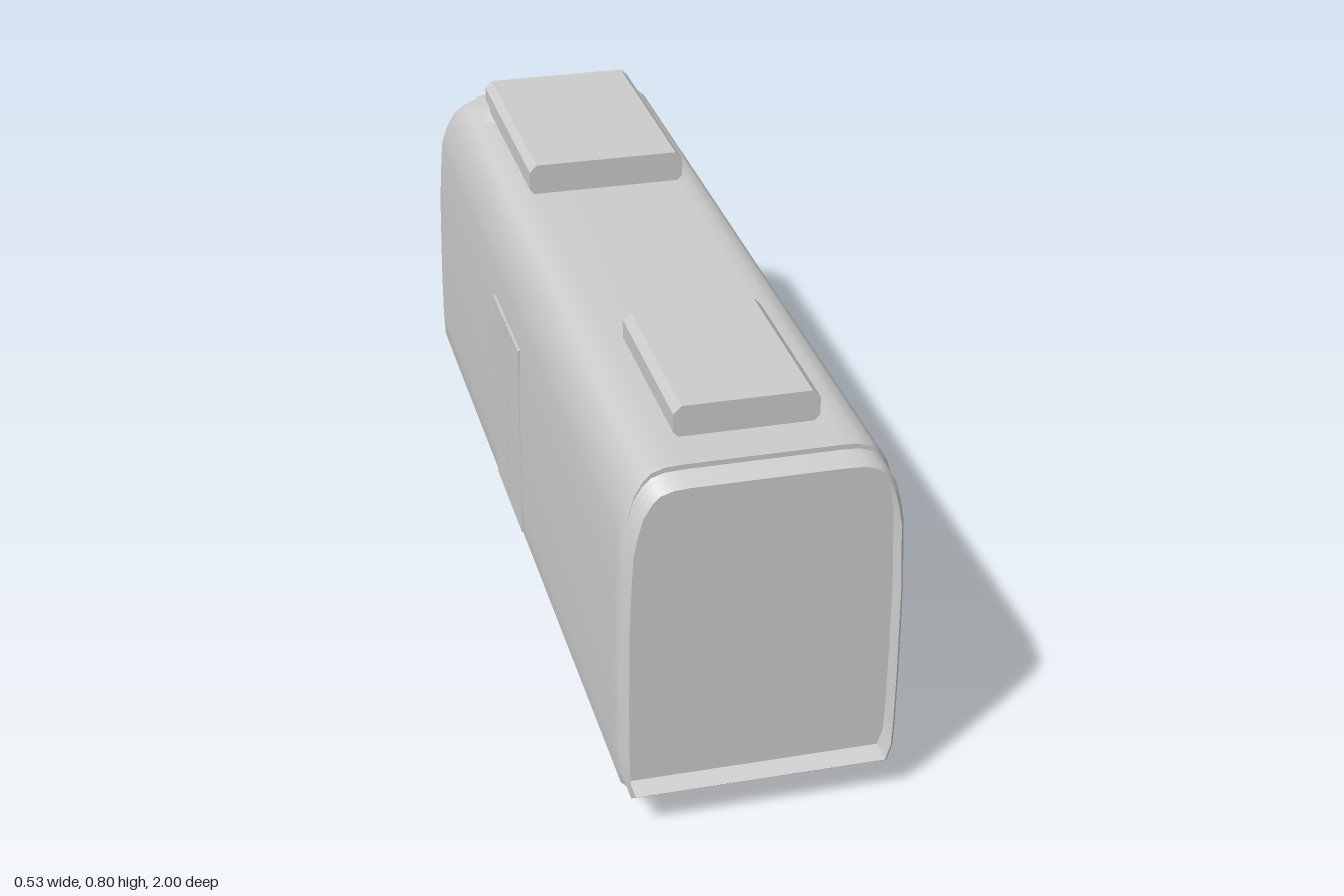
import * as THREE from 'three';
import { toCreasedNormals } from 'three/addons/utils/BufferGeometryUtils.js';

// Horizontal layers of the body: height, half width, nose z, corner depth
const LAYERS = [
  [0.063, 0.25, -0.985, 0.15], [0.097, 0.26, -0.998, 0.15], [0.15, 0.262, -1, 0.15],
  [0.27, 0.263, -0.995, 0.15], [0.45, 0.262, -0.984, 0.15], [0.52, 0.259, -0.979, 0.15],
  [0.6, 0.255, -0.97, 0.15], [0.64, 0.248, -0.945, 0.14], [0.683, 0.236, -0.905, 0.12],
  [0.71, 0.22, -0.868, 0.1], [0.725, 0.205, -0.84, 0.08], [0.733, 0.18, -0.815, 0.06],
  [0.735, 0.15, -0.8, 0.05], [0.735, 0, -0.8, 0.05],
];
const BACK = 0.945;

function layerAt(y) {
  let i = 0;
  while (i < LAYERS.length - 2 && LAYERS[i + 1][0] < y) i++;
  const a = LAYERS[i], b = LAYERS[i + 1];
  const f = (y - a[0]) / (b[0] - a[0]);
  return a.map((v, k) => v + (b[k] - v) * f);
}

// Point on the rounded nose, t running from the left side (0) to the right (PI)
function nosePoint([y, w, zf, d], t, offset = 0) {
  const p = 2 / 2.6, c = Math.cos(t);
  const s = Math.max(0, Math.sin(t));
  return [
    Math.sign(c) * Math.abs(c) ** p * (w + offset), y,
    zf + d * (1 - s ** p) - offset,
  ];
}

function outline(layer) {
  const [y, w, zf, d] = layer;
  const side = [[w * 0.97, y, BACK], [w, y, BACK - 0.015], [w, y, 0], [w, y, zf + d + 0.03]];
  const nose = [];
  for (let i = 0; i <= 32; i++) nose.push(nosePoint(layer, (i / 32) * Math.PI));
  const mirrored = side.map(([x, yy, z]) => [-x, yy, z]).reverse();
  return [...side, ...nose, ...mirrored];
}

// Surface through rows of points
function loft(rows) {
  const n = rows[0].length, index = [];
  for (let i = 0; i < rows.length - 1; i++) {
    for (let j = 0; j < n - 1; j++) {
      const a = i * n + j, b = a + 1, c = a + n, d = c + 1;
      index.push(a, b, c, b, d, c);
    }
  }
  const g = new THREE.BufferGeometry();
  g.setAttribute('position', new THREE.Float32BufferAttribute(rows.flat(2), 3));
  g.setIndex(index);
  g.computeVertexNormals();
  return g;
}

const flatShape = (pts) => new THREE.ShapeGeometry(new THREE.Shape(pts.map(([x, y]) => new THREE.Vector2(x, y))));

export function createModel() {
  const model = new THREE.Group();
  model.name = 'tramSection';
  const grey = new THREE.MeshStandardMaterial({ color: 0xcccccc });
  grey.name = 'body grey';
  const greyOpen = new THREE.MeshStandardMaterial({ color: 0xcccccc, side: THREE.DoubleSide });
  greyOpen.name = 'body grey';
  const glass = new THREE.MeshStandardMaterial({ color: 0x303a40, side: THREE.DoubleSide });
  glass.name = 'dark glass';

  const add = (name, geometry, material = grey, x = 0, y = 0, z = 0) => {
    const mesh = new THREE.Mesh(geometry, material);
    mesh.name = name;
    mesh.position.set(x, y, z);
    model.add(mesh);
    return mesh;
  };

  // Body shell and underside
  add('bodyShell', loft(LAYERS.map(outline)));
  const floor = flatShape(outline(LAYERS[0]).map(([x, , z]) => [x, z]));
  add('underside', floor.rotateX(Math.PI / 2), greyOpen, 0, LAYERS[0][0], 0);

  // End wall and pleated gangway
  const half = LAYERS.map(([y, w]) => [w, y]);
  const section = [...half, ...half.slice(0, -1).reverse().map(([x, y]) => [-x, y])];
  add('endWall', flatShape(section.map(([x, y]) => [x * 0.97, y])), greyOpen, 0, 0, BACK);
  const pleats = [];
  for (let i = 0; i <= 6; i++) {
    const s = i % 2 ? 0.98 : 0.955;
    const row = section.map(([x, y]) => [x * s, 0.4 + (y - 0.4) * s, 0.94 + i * 0.01]);
    pleats.push([...row, row[0]]);
  }
  add('gangwayBellows', toCreasedNormals(loft(pleats), 0.6), greyOpen);

  // Windscreen wrapped around the nose
  const heights = [0.26, 0.27, 0.36, 0.45, 0.52, 0.597];
  const screen = heights.map((y) => {
    const row = [];
    for (let i = 0; i <= 32; i++) {
      row.push(nosePoint(layerAt(y), THREE.MathUtils.lerp(0.6, Math.PI - 0.6, i / 32), 0.003));
    }
    return row;
  });
  add('windscreen', loft(screen), glass);

  // Roof equipment boxes with bevelled long edges
  const roofBox = (name, w, top, z0, z1, c) => {
    const b = 0.73;
    const shape = new THREE.Shape();
    [[-w + c, b], [w - c, b], [w, b + c], [w, top - c], [w - c, top],
      [-w + c, top], [-w, top - c], [-w, b + c]]
      .forEach(([x, y], i) => (i ? shape.lineTo(x, y) : shape.moveTo(x, y)));
    add(name, new THREE.ExtrudeGeometry(shape, { depth: z1 - z0, bevelEnabled: false }), grey, 0, 0, z0);
  };
  roofBox('rearRoofBox', 0.135, 0.796, 0.475, 0.85, 0.015);
  roofBox('noseRoofBox', 0.167, 0.8, -0.73, -0.23, 0.015);

  // Fairing blending the nose into the roof box
  const fairing = [[-0.63, 0, 0.185], [-0.66, 0.016, 0.19], [-0.7, 0.029, 0.19],
    [-0.74, 0.025, 0.19], [-0.78, 0.014, 0.185], [-0.825, -0.004, 0.17]]
    .map(([z, h, w]) => [
      [-w, 0.728, z], [-w + 0.03, 0.735 + h, z], [w - 0.03, 0.735 + h, z], [w, 0.728, z],
    ]);
  add('roofFairing', toCreasedNormals(loft(fairing), 0.5), greyOpen);

  for (const side of [1, -1]) {
    // Double doors
    for (const z of [0.026, -0.108]) {
      add('doorLeaf', new THREE.BoxGeometry(0.008, 0.435, 0.131), grey, side * 0.2598, 0.3175, z);
    }
    // Headlights
    const lamp = add('headlight', new THREE.SphereGeometry(0.032, 24, 16), grey, side * 0.17, 0.2, -0.975);
    lamp.scale.z = 0.3;
    lamp.rotation.y = -side * 0.39;
  }

  // Wheel sets: axle, treads and inner flanges
  for (const z of [-0.355, -0.73]) {
    const cylinder = (name, r0, r1, length, x) => {
      const g = new THREE.CylinderGeometry(r0, r1, length, 32).rotateZ(-Math.PI / 2);
      add(name, g, grey, x, 0.064, z);
    };
    cylinder('axle', 0.008, 0.008, 0.3, 0);
    for (const side of [1, -1]) {
      cylinder('wheelTread', 0.057, 0.057, 0.02, side * 0.159);
      cylinder('wheelFlange', 0.064, 0.064, 0.006, side * 0.148);
    }
  }
  return model;
}
